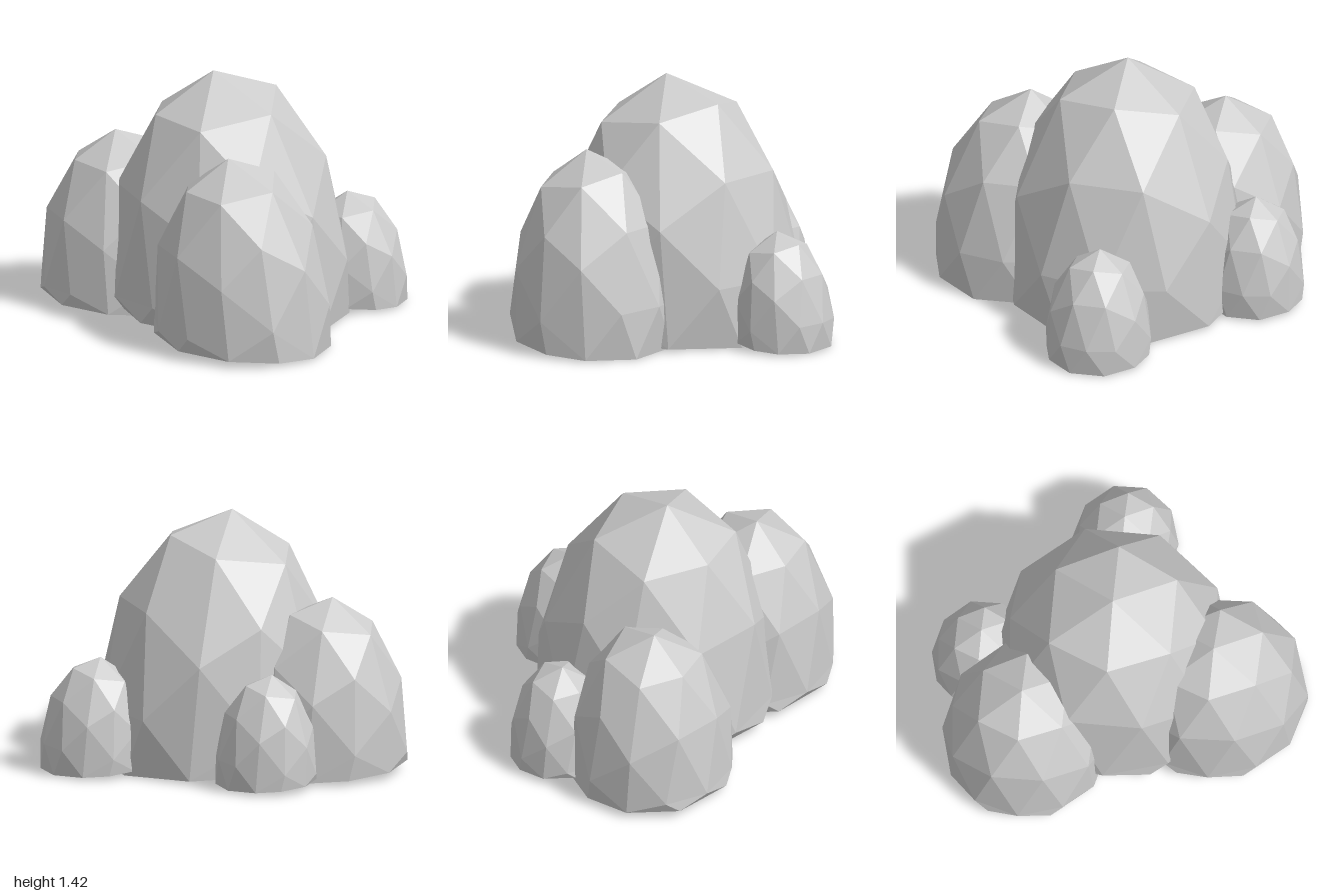
import * as THREE from 'three';

const material = new THREE.MeshStandardMaterial({ color: 0xcccccc, flatShading: true, side: THREE.DoubleSide });
const RIM = 0.19; // depth of the open rim below the centre of a unit dome

// Faceted unit dome: a turned coarse icosphere whose underside is cut off at a level rim
function domeGeometry() {
  const ball = new THREE.IcosahedronGeometry(1, 1).rotateY(0.85).rotateX(0.08).rotateZ(0.09);
  const p = ball.attributes.position;
  const kept = [];
  for (let i = 0; i < p.count; i += 3) {
    const corners = [0, 1, 2].map((k) => new THREE.Vector3().fromBufferAttribute(p, i + k));
    if (corners.every((v) => v.y < -RIM)) continue;
    for (const v of corners) {
      if (v.y < -RIM) v.setY(0).setLength(0.98).setY(-RIM);
      kept.push(v.x, v.y, v.z);
    }
  }
  const dome = new THREE.BufferGeometry();
  dome.setAttribute('position', new THREE.Float32BufferAttribute(kept, 3));
  return dome;
}

// Stretch a dome into a boulder whose peak leans sideways and whose rim slopes slightly
function boulder({ name, x, z, rx, rz, top, lean = [0, 0], rim = 0.03 }) {
  const ry = (top - rim) / (1 + RIM);
  const shape = new THREE.Matrix4().set(
    rx, lean[0], 0, x,
    -0.04 * rx, ry, 0.04 * rz, rim + RIM * ry,
    0, lean[1], rz, z,
    0, 0, 0, 1
  );
  const geometry = domeGeometry().applyMatrix4(shape);
  geometry.computeVertexNormals();
  const mesh = new THREE.Mesh(geometry, material);
  mesh.name = name;
  return mesh;
}

export function createModel() {
  const group = new THREE.Group();
  group.name = 'boulderCluster';
  const boulders = [
    { name: 'mainBoulder', x: 0.12, z: -0.06, rx: 0.68, rz: 0.685, top: 1.43, lean: [0, 0.02], rim: 0.04 },
    { name: 'frontLeftBoulder', x: 0.49, z: 0.435, rx: 0.515, rz: 0.475, top: 1.09, lean: [-0.02, 0] },
    { name: 'rightBoulder', x: -0.53, z: 0.005, rx: 0.475, rz: 0.465, top: 0.99, lean: [0, -0.02] },
    { name: 'backLeftRock', x: 0.6, z: -0.62, rx: 0.305, rz: 0.29, top: 0.645, lean: [0, 0.01], rim: 0.025 },
    { name: 'backRightRock', x: -0.445, z: -0.53, rx: 0.29, rz: 0.28, top: 0.64 },
  ];
  for (const b of boulders) group.add(boulder(b));
  return group;
}
